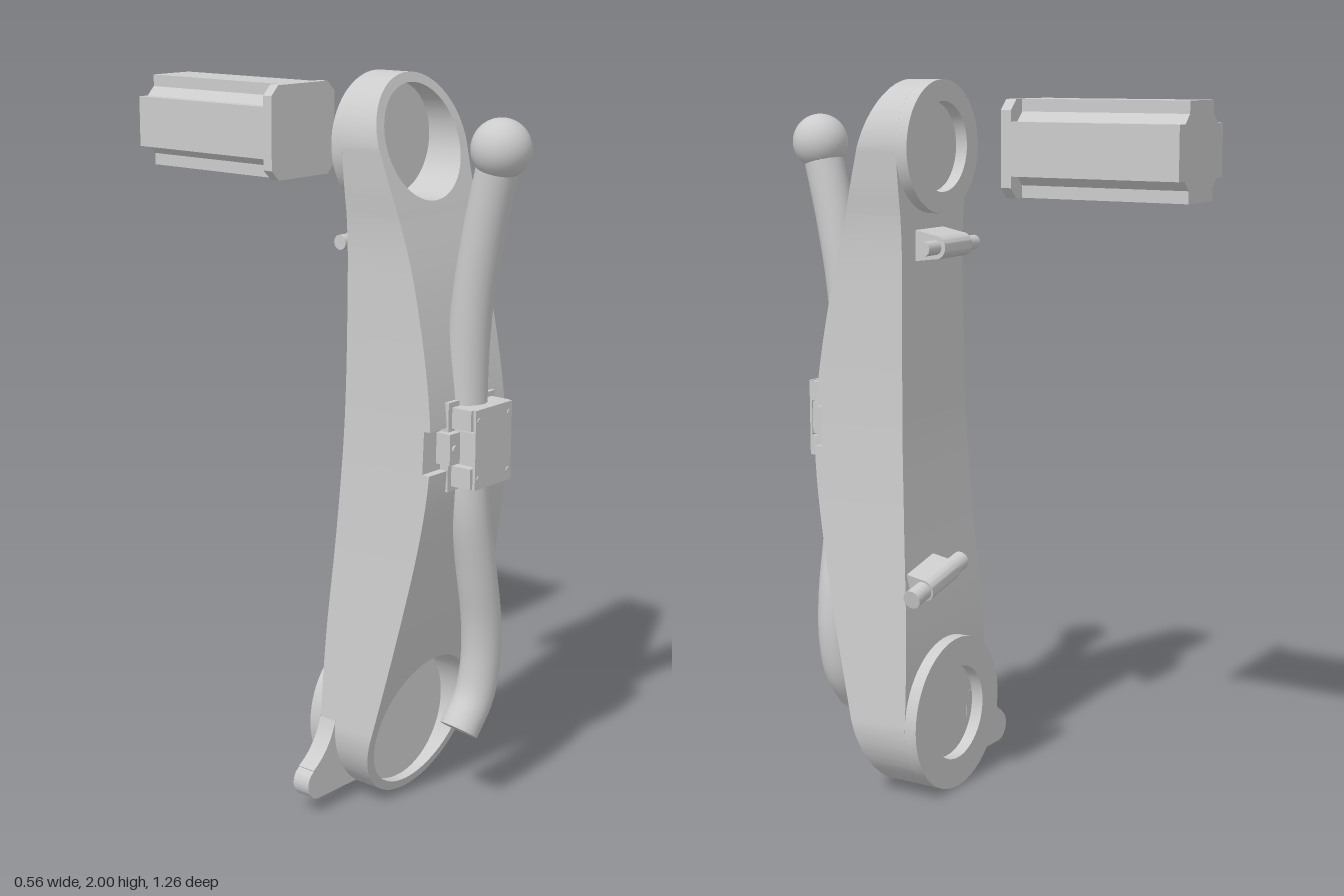
import * as THREE from 'three';
import { toCreasedNormals } from 'three/addons/utils/BufferGeometryUtils.js';

const CX = 0.053;                       // centre line of the arm
const TOP = { y: 1.82, r: 0.18 };       // upper joint
const LOW = { y: 0.223, r: 0.22 };      // lower joint
const material = new THREE.MeshStandardMaterial({ color: 0xcccccc });

function add(parent, name, geometry, x = 0, y = 0, z = 0) {
  const mesh = new THREE.Mesh(geometry, material);
  mesh.name = name;
  mesh.position.set(x, y, z);
  parent.add(mesh);
  return mesh;
}

// Smooth height-to-value curve through [y, value] pairs
function curve(points) {
  const slope = (i) => {
    const a = points[Math.max(i - 1, 0)], b = points[Math.min(i + 1, points.length - 1)];
    return (b[1] - a[1]) / (b[0] - a[0]);
  };
  return (y) => {
    let i = 0;
    while (i < points.length - 2 && y > points[i + 1][0]) i++;
    const [y0, v0] = points[i], [y1, v1] = points[i + 1], h = y1 - y0;
    const t = THREE.MathUtils.clamp((y - y0) / h, 0, 1), t2 = t * t, t3 = t2 * t;
    return v0 * (2 * t3 - 3 * t2 + 1) + v1 * (3 * t2 - 2 * t3)
      + h * (slope(i) * (t3 - 2 * t2 + t) + slope(i + 1) * (t3 - t2));
  };
}

const sideWidth = curve([[0.223, 0.22], [0.5, 0.2], [0.8, 0.178], [1.1, 0.162],
  [1.4, 0.155], [1.6, 0.156], [1.72, 0.17], [1.82, 0.18]]);
const frontZ = curve([[0, 0.258], [0.28, 0.33], [0.6, 0.403], [0.85, 0.45], [1.02, 0.465],
  [1.2, 0.452], [1.45, 0.405], [1.65, 0.35], [1.82, 0.3], [2, 0.245]]);
const backZ = curve([[0, 0.135], [0.45, 0.14], [0.8, 0.16], [1.1, 0.173], [1.6, 0.175], [2, 0.175]]);
const chord = (y, cy, r) => Math.sqrt(Math.max(0, r * r - (y - cy) ** 2));

// Arm shell: horizontal sections stacked in y, with round pockets and a clamp notch
function armGeometry() {
  const pockets = [{ y: TOP.y + 0.005, r: 0.149, floor: 0.2 }, { y: LOW.y, r: 0.194, floor: 0.235 }];
  const notch = [0.99, 1.105];
  const heights = [];
  for (const c of [TOP, LOW, ...pockets])
    for (let i = 0; i <= 32; i++) heights.push(c.y + c.r * Math.cos(Math.PI * i / 32));
  for (let y = 0.46; y < 1.62; y += 0.04) heights.push(y);
  for (const y of notch) heights.push(y - 0.0005, y + 0.0005);
  heights.sort((a, b) => a - b);

  const position = [], index = [], n = 8;
  heights.forEach((y, row) => {
    const w = y > TOP.y ? chord(y, TOP.y, TOP.r) : y < LOW.y ? chord(y, LOW.y, LOW.r) : sideWidth(y);
    const p = y > 1 ? pockets[0] : pockets[1];
    const hole = chord(y, p.y, p.r), b = backZ(y);
    const f = y > notch[0] && y < notch[1] ? 0.442 : frontZ(y);
    const floor = hole > 0 ? p.floor : f;
    const section = [[-w, b], [-w, f], [-hole, f], [-hole, floor],
      [hole, floor], [hole, f], [w, f], [w, b]];
    for (const [x, z] of section) position.push(CX + x, y, z);
    if (row === 0) return;
    for (let j = 0; j < n; j++) {
      const a = (row - 1) * n + j, c = (row - 1) * n + (j + 1) % n;
      index.push(a, c, c + n, a, c + n, a + n);
    }
  });
  const geometry = new THREE.BufferGeometry();
  geometry.setAttribute('position', new THREE.Float32BufferAttribute(position, 3));
  geometry.setIndex(index);
  return toCreasedNormals(geometry, 0.5);
}

function extrude(shape, depth, curveSegments = 32) {
  return new THREE.ExtrudeGeometry(shape, { depth, bevelEnabled: false, curveSegments });
}

function ringGeometry(outer, inner, depth) {
  const shape = new THREE.Shape().absarc(0, 0, outer, 0, Math.PI * 2);
  shape.holes.push(new THREE.Path().absarc(0, 0, inner, 0, Math.PI * 2, true));
  return toCreasedNormals(extrude(shape, depth), 0.5);
}

// Square outline whose four corners repeat the given cut
function corneredSquare(corner) {
  const points = [];
  for (let q = 0; q < 4; q++)
    for (const [x, y] of corner)
      points.push(new THREE.Vector2(x, y).rotateAround(new THREE.Vector2(), q * Math.PI / 2));
  return new THREE.Shape(points);
}

// Bracket with a cross pin, set on the back of the arm
function cableClip(name, x, y, z, tilt, pinRadius) {
  const clip = new THREE.Group();
  clip.name = name;
  const profile = new THREE.Shape();   // drawn as (z, y)
  profile.moveTo(0.065, -0.04);
  profile.lineTo(0.005, -0.032);
  profile.absarc(0, 0, 0.032, -Math.PI / 2, Math.PI / 2, true);
  profile.lineTo(0.065, 0.045);
  const block = add(clip, 'clipBlock', toCreasedNormals(extrude(profile, 0.14, 10), 0.5), 0.07, 0, 0);
  block.rotation.y = -Math.PI / 2;
  const pin = add(clip, 'clipPin', new THREE.CylinderGeometry(pinRadius, pinRadius, 0.26, 20));
  pin.rotation.z = Math.PI / 2;
  clip.position.set(x, y, z);
  clip.rotation.z = tilt;
  return clip;
}

export function createModel() {
  const model = new THREE.Group();
  model.name = 'robotArmLink';

  add(model, 'armShell', armGeometry());
  add(model, 'upperJointRing', ringGeometry(0.18, 0.122, 0.036), CX, TOP.y, 0.14);
  add(model, 'lowerJointRing', ringGeometry(0.22, 0.135, 0.036), CX, LOW.y, 0.1);

  // Rounded lever beside the lower joint
  const lever = new THREE.Shape();
  lever.moveTo(-0.05, 0.045);
  lever.lineTo(-0.05, 0.25);
  lever.lineTo(-0.165, 0.25);
  lever.quadraticCurveTo(-0.19, 0.17, -0.255, 0.132);
  lever.absarc(-0.232, 0.09, 0.045, Math.PI * 0.66, Math.PI * 1.5, false);
  add(model, 'lowerLever', toCreasedNormals(extrude(lever, 0.054, 12), 0.5), 0, 0, 0.136);

  // Bent handle tube and its ball
  const path = new THREE.CatmullRomCurve3([
    [0.053, 1.825, 0.55], [0.054, 1.6, 0.497], [0.056, 1.4, 0.463], [0.058, 1.2, 0.451],
    [0.057, 1.0, 0.457], [0.065, 0.85, 0.462], [0.1, 0.68, 0.463], [0.13, 0.53, 0.46],
    [0.135, 0.41, 0.457], [0.115, 0.31, 0.452], [0.057, 0.225, 0.446],
  ].map((p) => new THREE.Vector3(...p)));
  add(model, 'handleTube', new THREE.TubeGeometry(path, 90, 0.055, 28));
  const end = add(model, 'handleTubeEnd', new THREE.CircleGeometry(0.055, 28));
  end.position.copy(path.getPoint(1));
  end.lookAt(path.getPoint(1).add(path.getTangent(1)));
  add(model, 'handleBall', new THREE.SphereGeometry(0.078, 36, 24), 0.051, 1.825, 0.55);

  // Clamp holding the tube: seat, wings, jaws, cover plate and screws
  const clamp = new THREE.Group();
  clamp.name = 'clamp';
  clamp.position.set(0.06, 1.052, 0);
  model.add(clamp);
  add(clamp, 'clampSeat', new THREE.BoxGeometry(0.2, 0.24, 0.05), 0, 0, 0.443);
  add(clamp, 'clampWings', new THREE.BoxGeometry(0.235, 0.084, 0.045), 0, 0, 0.465);
  add(clamp, 'clampCore', new THREE.BoxGeometry(0.15, 0.09, 0.09), 0, 0, 0.493);
  for (const s of [-1, 1]) {
    add(clamp, 'clampJaw', new THREE.BoxGeometry(0.17, 0.056, 0.065), 0, s * 0.078, 0.497);
    const wingScrew = add(clamp, 'wingScrew', new THREE.CylinderGeometry(0.011, 0.011, 0.006, 14), s * 0.098, 0, 0.49);
    wingScrew.rotation.x = Math.PI / 2;
    for (const t of [-1, 1]) {
      const screw = add(clamp, 'plateScrew', new THREE.CylinderGeometry(0.008, 0.008, 0.004, 14), s * 0.064, t * 0.078, 0.541);
      screw.rotation.x = Math.PI / 2;
    }
  }
  add(clamp, 'clampPlate', new THREE.BoxGeometry(0.156, 0.214, 0.008), 0, 0, 0.536);

  // Cable clips on the back
  model.add(cableClip('upperCableClip', 0.07, 1.555, 0.112, 0, 0.02));
  model.add(cableClip('lowerCableClip', 0.155, 0.637, 0.104, -0.22, 0.026));

  // Detached motor: grooved body with a chamfered flange
  const motor = new THREE.Group();
  motor.name = 'motor';
  motor.position.set(CX, 1.824, 0);
  model.add(motor);
  const h = 0.1275;
  add(motor, 'motorBody',
    extrude(corneredSquare([[h, 0.07], [0.095, 0.07], [0.07, 0.095], [0.07, h]]), 0.48), 0, 0, -0.628);
  add(motor, 'motorFlange', extrude(corneredSquare([[h, 0.1], [0.1, h]]), 0.03), 0, 0, -0.148);

  return model;
}
